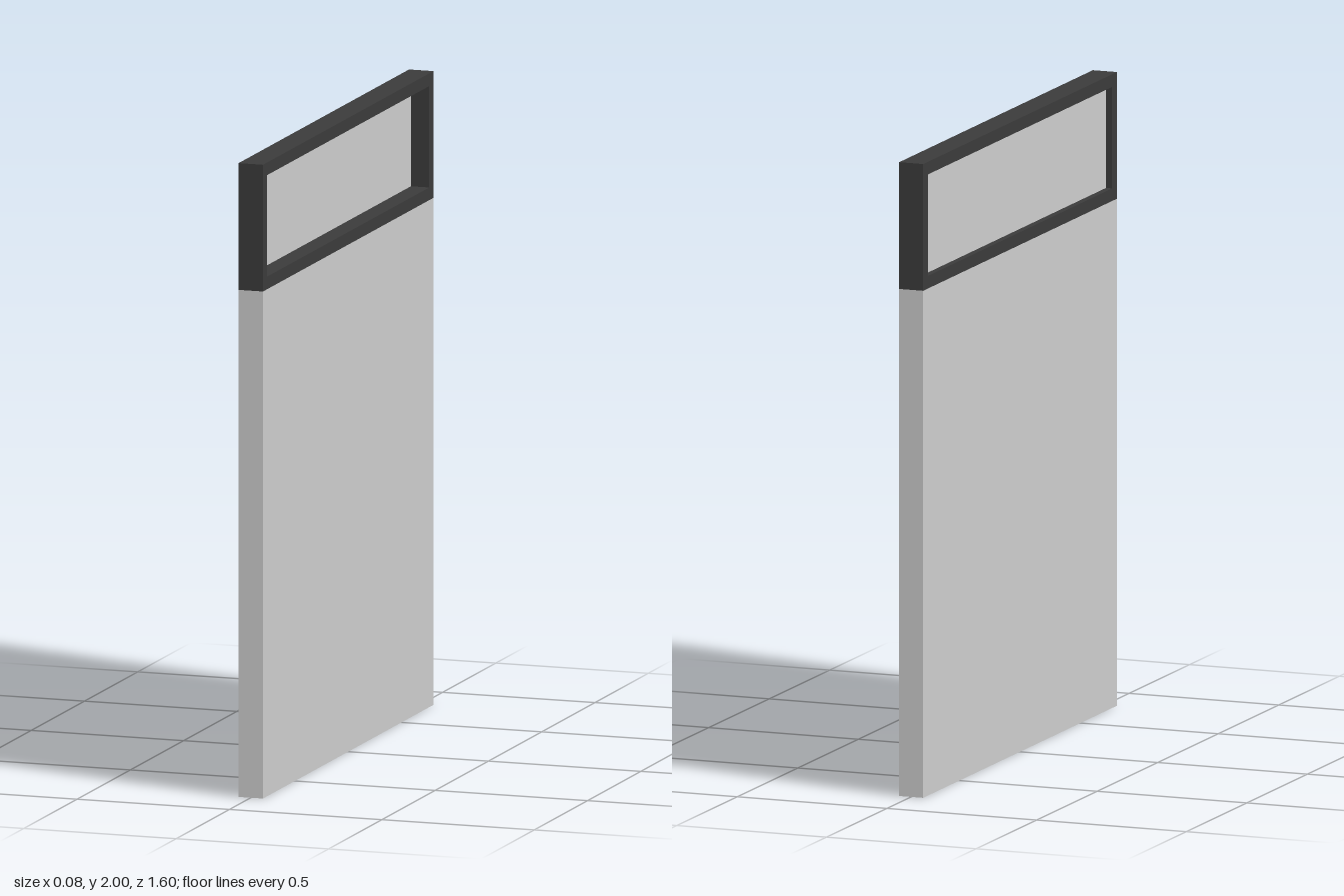
import * as THREE from 'three';

const THICKNESS = 0.08, WIDTH = 1.6, BOARD_HEIGHT = 1.6, FRAME_HEIGHT = 0.4, BORDER = 0.04;

// Rectangle centred on the origin
function rectangle(PathType, w, h) {
  return new PathType([[-w, -h], [w, -h], [w, h], [-w, h]].map(([x, y]) => new THREE.Vector2(x / 2, y / 2)));
}

export function createModel() {
  const lightGrey = new THREE.MeshStandardMaterial({ color: 0xcccccc });
  lightGrey.name = 'lightGrey';
  const paneGrey = lightGrey.clone();
  paneGrey.side = THREE.DoubleSide;
  const darkGrey = new THREE.MeshStandardMaterial({ color: 0x3b3b3b });
  darkGrey.name = 'darkGrey';

  const model = new THREE.Group();
  model.name = 'panel';
  const add = (name, geometry, material, x, y) => {
    const mesh = new THREE.Mesh(geometry, material);
    mesh.name = name;
    mesh.position.set(x, y, 0);
    model.add(mesh);
  };

  // Solid lower panel
  add('lowerPanel', new THREE.BoxGeometry(THICKNESS, BOARD_HEIGHT, WIDTH), lightGrey, 0, BOARD_HEIGHT / 2);

  // Window frame along the top, open through the thickness
  const innerWidth = WIDTH - 2 * BORDER, innerHeight = FRAME_HEIGHT - 2 * BORDER;
  const outline = rectangle(THREE.Shape, WIDTH, FRAME_HEIGHT);
  outline.holes.push(rectangle(THREE.Path, innerWidth, innerHeight));
  const frame = new THREE.ExtrudeGeometry(outline, { depth: THICKNESS, bevelEnabled: false });
  frame.translate(0, 0, -THICKNESS / 2).rotateY(Math.PI / 2);
  const frameY = BOARD_HEIGHT + FRAME_HEIGHT / 2;
  add('windowFrame', frame, darkGrey, 0, frameY);

  // Thin pane, set nearer the right side of the frame
  const pane = new THREE.PlaneGeometry(innerWidth, innerHeight).rotateY(Math.PI / 2);
  add('windowPane', pane, paneGrey, -0.02, frameY);

  return model;
}
